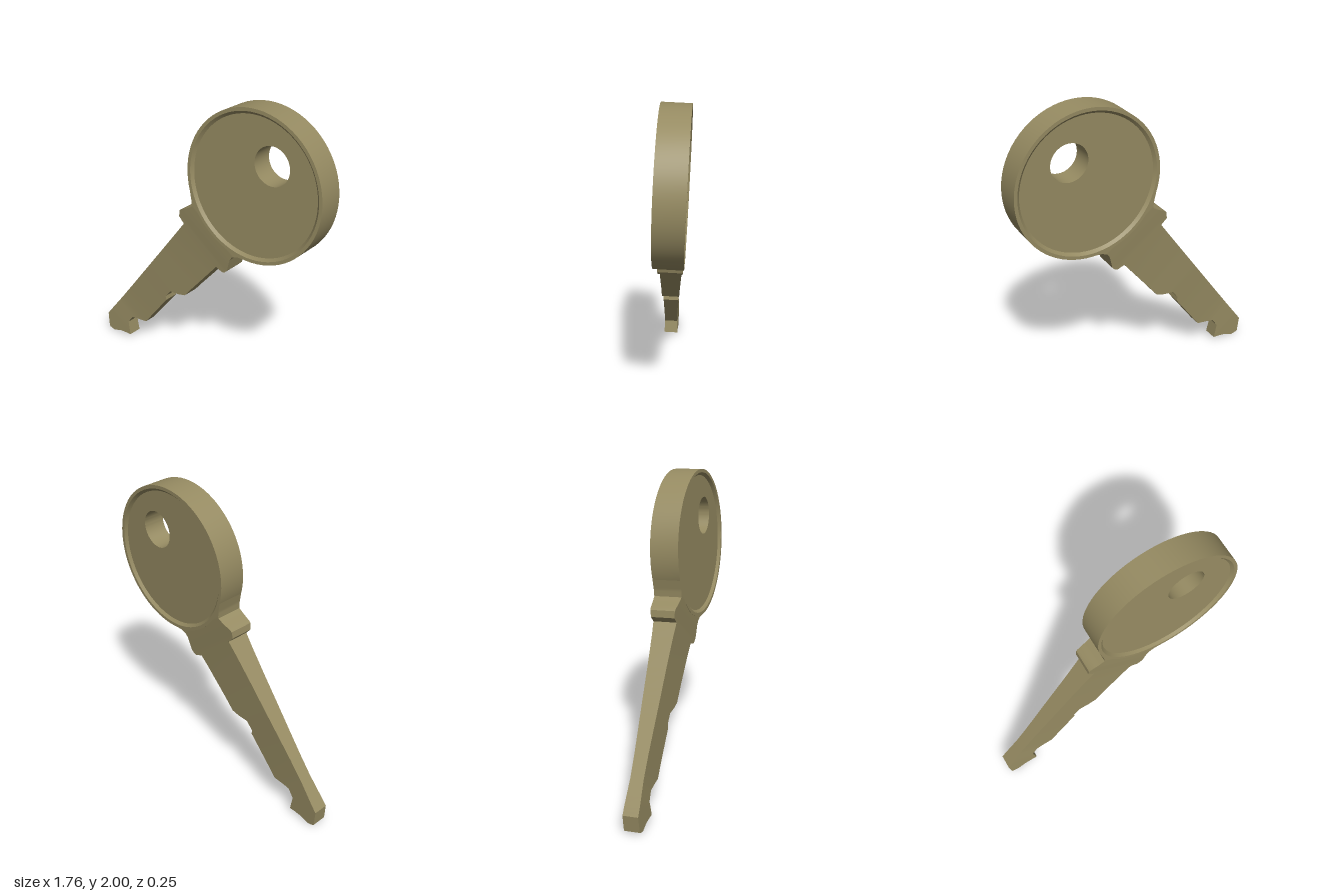
import * as THREE from 'three';
import { toCreasedNormals } from 'three/addons/utils/BufferGeometryUtils.js';

// Key is built upright (blade along y, bow on top), then leaned into place.
const BOW_Y = 1.437, BOW_R = 0.49, RIM_R = 0.475, HALF = 0.0925, RECESS = 0.018;

// Edge profiles: [height, x]
const toothEdge = [
  [-0.506, -0.094], [-0.49, -0.054], [-0.438, -0.019], [-0.398, 0.026], [-0.374, 0.058],
  [-0.306, -0.018], [-0.238, -0.019], [-0.148, 0.075], [0.18, 0.078], [0.201, 0.056],
  [0.272, 0.059], [0.318, 0.112], [0.366, 0.151], [0.444, 0.154], [0.785, 0.173],
  [0.799, 0.225], [0.815, 0.238], [0.843, 0.242], [0.93, 0.208], [0.962, 0.207],
  [0.995, 0.227], [1.06, 0.31],
];
const plainEdge = [
  [-0.506, -0.104], [-0.427, -0.178], [0.801, -0.178], [0.809, -0.234], [0.848, -0.257],
  [0.862, -0.255], [0.925, -0.222], [0.962, -0.207], [0.995, -0.235], [1.06, -0.31],
];
// Half thickness along the blade: [height, half]
const thickness = [
  [-0.506, 0.051], [-0.36, 0.049], [-0.2, 0.043], [-0.05, 0.045], [0.1, 0.05], [0.3, 0.057],
  [0.5, 0.063], [0.7, 0.071], [0.82, 0.079], [0.9, 0.087], [0.97, HALF], [1.06, HALF],
];

// Piecewise linear lookup
function sample(table, s) {
  let i = 1;
  while (i < table.length - 1 && table[i][0] < s) i++;
  const [a, b] = [table[i - 1], table[i]];
  return THREE.MathUtils.mapLinear(s, a[0], b[0], a[1], b[1]);
}

// Joins rectangular cross-sections running up y between two edge functions
function loft(heights, left, right) {
  const positions = [];
  const rings = heights.map((y) => {
    const h = sample(thickness, y), l = left(y), r = right(y);
    return [[l, y, h], [r, y, h], [r, y, -h], [l, y, -h]];
  });
  for (let i = 0; i + 1 < rings.length; i++) {
    for (let j = 0; j < 4; j++) {
      const k = (j + 1) % 4;
      const a = rings[i][j], b = rings[i][k], c = rings[i + 1][k], d = rings[i + 1][j];
      positions.push(...a, ...b, ...c, ...a, ...c, ...d);
    }
  }
  const g = new THREE.BufferGeometry();
  g.setAttribute('position', new THREE.Float32BufferAttribute(positions, 3));
  return toCreasedNormals(g, 0.5);
}

export function createModel() {
  const brass = new THREE.MeshStandardMaterial({ color: 0x968b62 });
  brass.name = 'brass';

  const key = new THREE.Group();
  key.name = 'key';
  const add = (name, geometry) => {
    const mesh = new THREE.Mesh(geometry, brass);
    mesh.name = name;
    key.add(mesh);
    return mesh;
  };

  // Blade with teeth and shoulders, up to the bow
  const neck = BOW_Y - RIM_R;
  const stops = [...toothEdge, ...plainEdge, ...thickness].map((p) => p[0]);
  const heights = [...new Set(stops)].filter((s) => s <= neck + 1e-6).sort((a, b) => a - b);
  const left = (s) => sample(plainEdge, s), right = (s) => sample(toothEdge, s);
  add('blade', loft(heights, left, right));

  // Fillets hugging the round bow
  const arc = (s) => Math.sqrt(Math.max(0, RIM_R ** 2 - (s - BOW_Y) ** 2));
  const filletHeights = Array.from({ length: 13 }, (_, i) => neck + (1.06 - neck) * (i / 12) ** 1.5);
  add('rightFillet', loft(filletHeights, arc, right));
  add('leftFillet', loft(filletHeights, left, (s) => -arc(s)));

  // Raised rim of the bow, with a sloped inner lip on both faces
  const profile = [
    [0.45, RECESS - HALF], [0.468, -HALF], [BOW_R, -HALF],
    [BOW_R, HALF], [0.468, HALF], [0.45, HALF - RECESS],
  ].map(([r, y]) => new THREE.Vector2(r, y));
  const rim = toCreasedNormals(new THREE.LatheGeometry(profile, 72), 0.5);
  rim.rotateX(Math.PI / 2);
  add('bowRim', rim).position.y = BOW_Y;

  // Recessed disc with the ring hole
  const disc = new THREE.Shape().absarc(0, 0, 0.453, 0, Math.PI * 2, false);
  disc.holes.push(new THREE.Path().absarc(0, 0.208, 0.124, 0, Math.PI * 2, true));
  const depth = 2 * (HALF - RECESS);
  const plate = new THREE.ExtrudeGeometry(disc, { depth, bevelEnabled: false, curveSegments: 36 });
  plate.translate(0, 0, -depth / 2);
  add('bowDisc', toCreasedNormals(plate, 0.5)).position.y = BOW_Y;

  // Lean the key in its plane, then tilt the plane slightly
  key.rotation.z = -0.647;
  key.position.set(-0.481, 0.364, 0);
  const model = new THREE.Group();
  model.name = 'keyModel';
  model.add(key);
  model.rotation.set(-0.041, -0.0475, 0);
  model.position.z = 0.041;
  return model;
}
